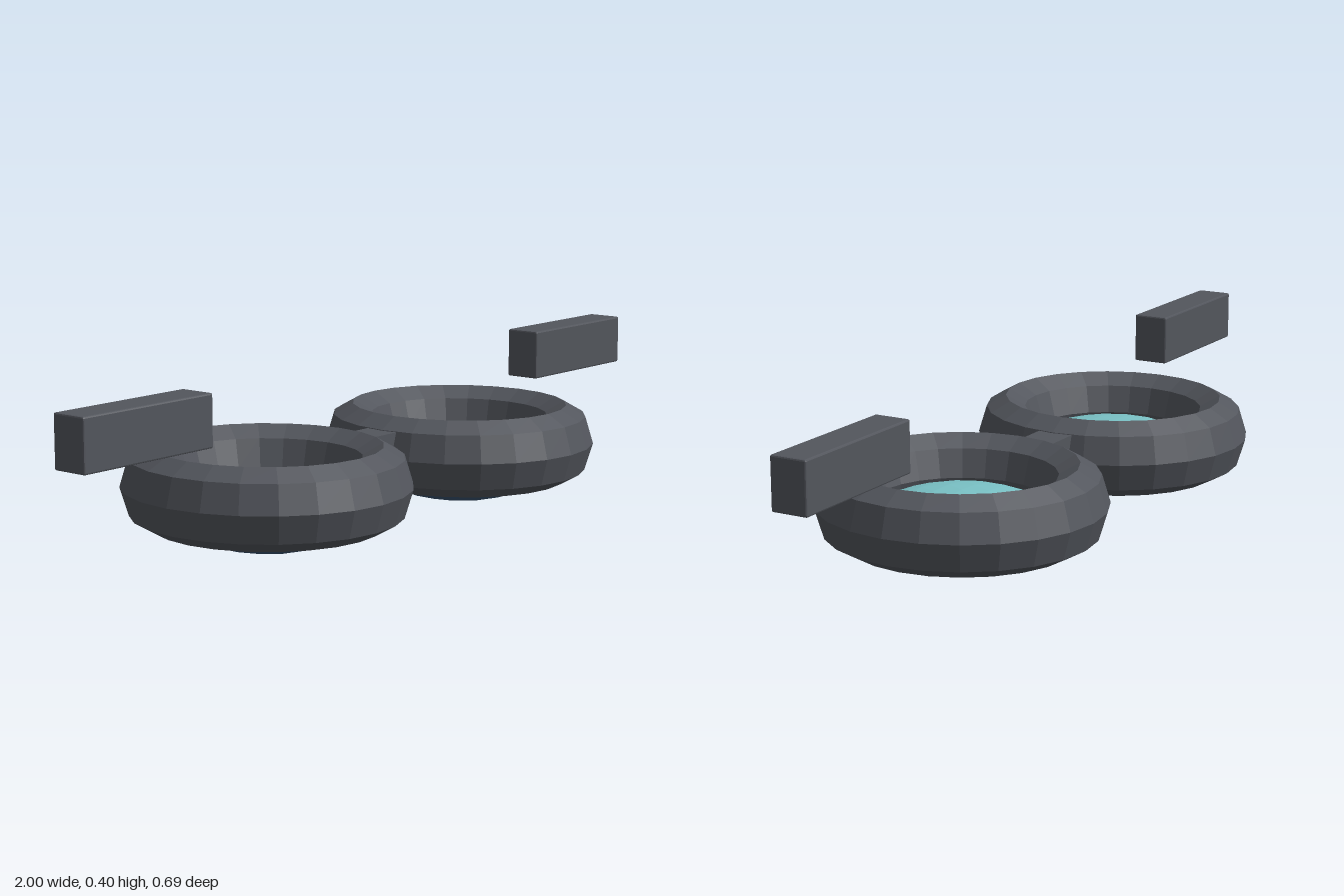
import * as THREE from 'three';
import { RoundedBoxGeometry } from 'three/addons/geometries/RoundedBoxGeometry.js';

export function createModel() {
  const model = new THREE.Group();
  model.name = 'goggles';

  const material = (name, color) => {
    const m = new THREE.MeshStandardMaterial({ color, flatShading: true });
    m.name = name;
    return m;
  };
  const frameGrey = material('frame grey', 0x53565d);
  const lensTeal = material('lens teal', 0x7ac2c6);
  const lensBlue = material('lens blue', 0x3a5674);

  const add = (parent, name, geometry, mat, x, y, z) => {
    const mesh = new THREE.Mesh(geometry, mat);
    mesh.name = name;
    mesh.position.set(x, y, z);
    parent.add(mesh);
  };

  // Rings and lenses are slightly narrower across than they are deep
  const squeeze = 0.957;
  const rim = new THREE.TorusGeometry(0.275, 0.07, 8, 24)
    .rotateX(Math.PI / 2)
    .scale(squeeze, 0.095 / 0.07, 1);
  const lens = (radius, height) =>
    new THREE.IcosahedronGeometry(1, 3).scale(radius * squeeze, height, radius);
  const innerLens = lens(0.208, 0.06);
  const outerLens = lens(0.205, 0.067);
  const strap = new RoundedBoxGeometry(0.388, 0.123, 0.09, 1, 0.004);

  for (const [side, s] of [['left', 1], ['right', -1]]) {
    // Eyepiece: rim with a pale lens inside and a dark lens bulging out below
    const eyepiece = new THREE.Group();
    eyepiece.name = side + 'Eyepiece';
    eyepiece.position.x = s * 0.366;
    model.add(eyepiece);
    add(eyepiece, 'rim', rim, frameGrey, 0, 0.152, 0);
    add(eyepiece, 'innerLens', innerLens, lensTeal, 0, 0.12, 0);
    add(eyepiece, 'outerLens', outerLens, lensBlue, 0, 0.07, 0);

    // Strap stub floating outside the rim
    add(model, side + 'Strap', strap, frameGrey, s * 0.806, 0.3435, 0.02);
  }

  // Nose bridge between the rims
  add(model, 'bridge', new THREE.BoxGeometry(0.14, 0.123, 0.09), frameGrey, 0, 0.156, -0.005);

  return model;
}
